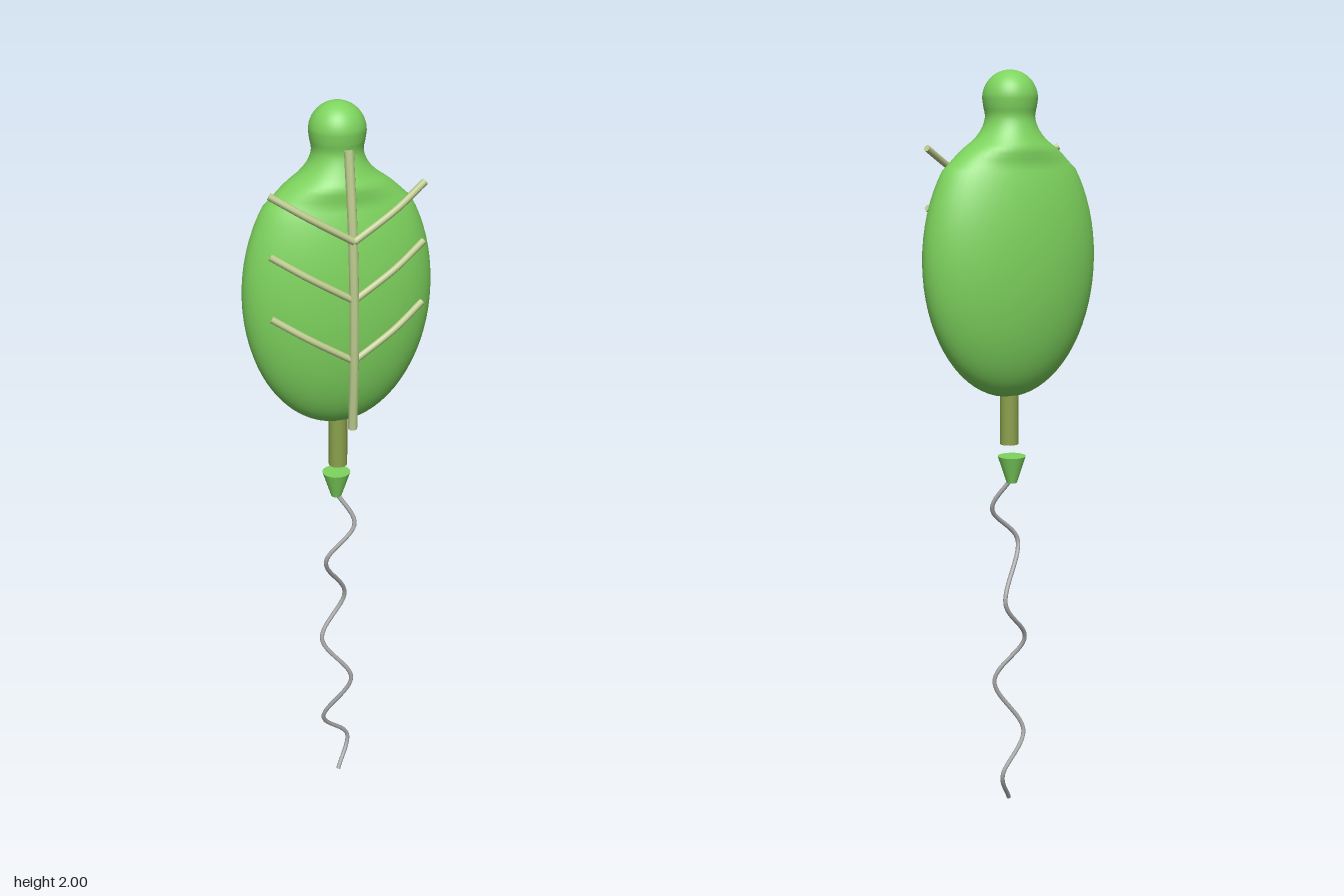
import * as THREE from 'three';
import { mergeVertices } from 'three/addons/utils/BufferGeometryUtils.js';

const material = (name, color) => {
  const m = new THREE.MeshStandardMaterial({ color });
  m.name = name;
  return m;
};

export function createModel() {
  const model = new THREE.Group();
  model.name = 'leafBalloon';
  const green = material('leafGreen', 0x7ed45e);
  const olive = material('stemOlive', 0x8ba14c);
  const pale = material('veinPale', 0xbccb8e);
  const grey = material('stringGrey', 0xa6a6a6);

  const add = (name, geometry, mat, x = 0, y = 0, z = 0) => {
    const mesh = new THREE.Mesh(geometry, mat);
    mesh.name = name;
    mesh.position.set(x, y, z);
    model.add(mesh);
    return mesh;
  };

  // Round rod with closed, flat ends along a smooth curve
  const addRod = (name, points, radius, mat, segments, sides = 8) => {
    const curve = new THREE.CatmullRomCurve3(points.map(p => new THREE.Vector3(...p)));
    add(name, new THREE.TubeGeometry(curve, segments, radius, sides), mat);
    for (const t of [0, 1]) {
      const end = curve.getPoint(t);
      const cap = add(name + 'End', new THREE.CircleGeometry(radius, sides), mat, end.x, end.y, end.z);
      const out = curve.getTangent(t).multiplyScalar(t ? 1 : -1);
      cap.quaternion.setFromUnitVectors(new THREE.Vector3(0, 0, 1), out);
    }
  };

  // Body: ellipsoid, soft shoulder, narrow neck and round tip in one profile
  const profile = [];
  for (let i = 0; i <= 26; i++) {
    const a = THREE.MathUtils.degToRad(-90 + i * 5);
    profile.push(new THREE.Vector2(0.248 * Math.cos(a), 1.52 + 0.36 * Math.sin(a)));
  }
  profile[0].x = 0;
  const shoulder = new THREE.SplineCurve([
    [0.19, 1.751], [0.139, 1.797], [0.097, 1.827], [0.073, 1.855], [0.064, 1.883], [0.068, 1.908],
  ].map(p => new THREE.Vector2(...p)));
  profile.push(...shoulder.getPoints(16).slice(1));
  for (let i = 0; i <= 12; i++) {
    const a = (i / 12) * Math.PI / 2;
    profile.push(new THREE.Vector2(i === 12 ? 0 : 0.071 * Math.cos(a), 1.929 + 0.071 * Math.sin(a)));
  }
  let body = new THREE.LatheGeometry(profile, 48);
  const pos = body.attributes.position;
  for (let i = 0; i < pos.count; i++) {
    // flattened leaf that turns round again at the neck
    const depth = 0.504 + 0.496 * THREE.MathUtils.smoothstep(pos.getY(i), 1.75, 1.87);
    pos.setZ(i, pos.getZ(i) * depth);
  }
  body.deleteAttribute('uv');
  body.deleteAttribute('normal');
  body = mergeVertices(body);
  body.computeVertexNormals();
  add('leafBody', body, green, 0, 0, -0.012);

  // Midrib and three pairs of side veins
  addRod('midrib', [[0, 1.9, 0.076], [0, 1.7, 0.108], [0, 1.52, 0.121], [0, 1.36, 0.122], [0, 1.19, 0.113]],
    0.0125, pale, 24);
  for (const y of [1.69, 1.54, 1.38]) {
    for (const side of [1, -1]) {
      addRod(side > 0 ? 'leftVein' : 'rightVein',
        [[0, y, 0.121], [side * 0.11, y + 0.064, 0.105], [side * 0.197, y + 0.116, 0.07]], 0.009, pale, 12);
    }
  }

  // Stem and knot
  add('stem', new THREE.CylinderGeometry(0.025, 0.025, 0.16, 16), olive, 0, 1.11, -0.008);
  add('knot', new THREE.CylinderGeometry(0.038, 0.014, 0.073, 16), green, 0, 0.963, -0.022);

  // Wavy string
  addRod('string', [
    [0, 0.935, -0.018], [0.04, 0.85, 0.015], [-0.043, 0.75, 0.02], [0.03, 0.595, -0.04], [-0.046, 0.475, -0.014],
    [0.03, 0.35, 0.022], [-0.043, 0.2, -0.014], [0.04, 0.095, -0.042], [0, 0.004, -0.006],
  ], 0.006, grey, 120, 8);

  return model;
}
